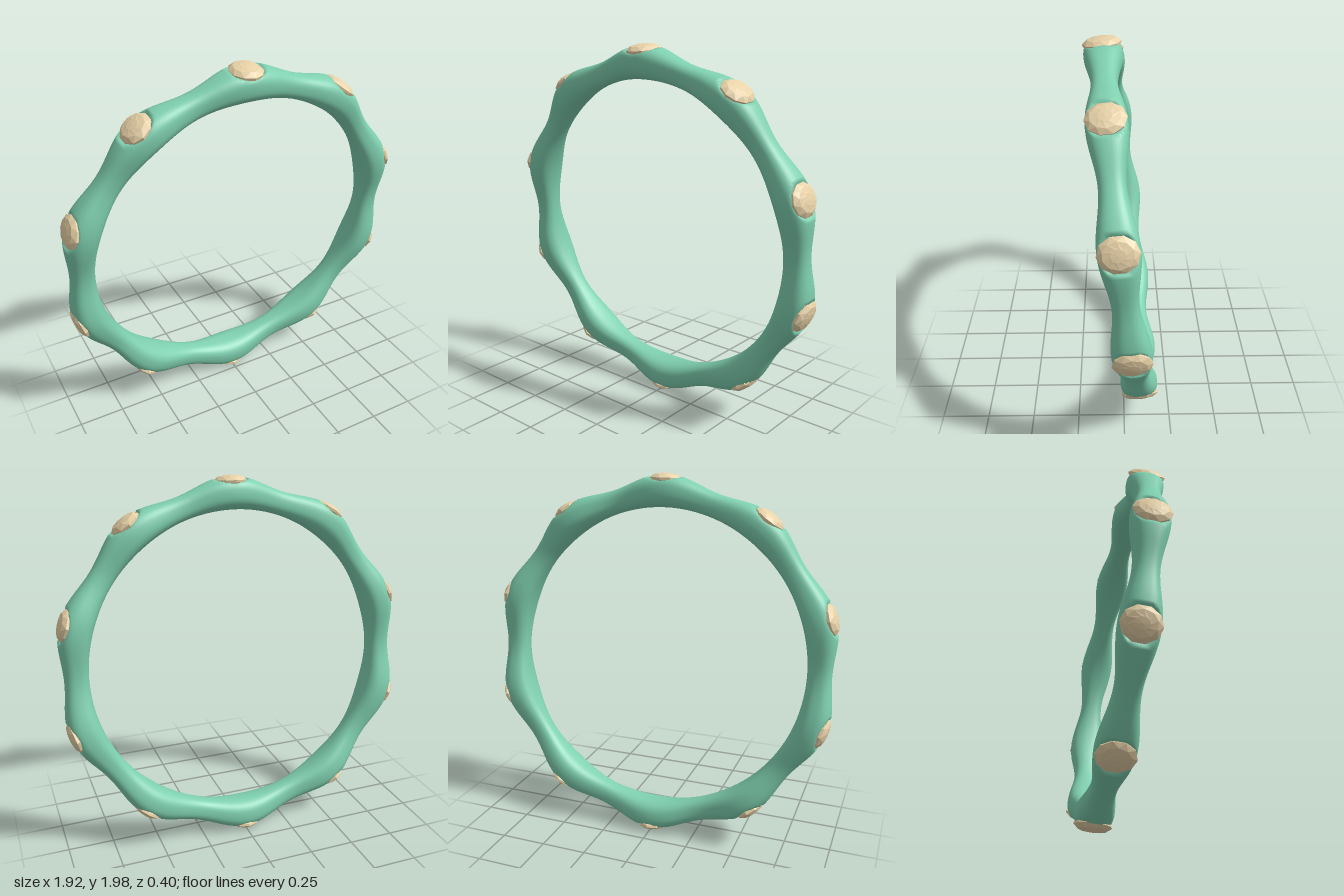
import * as THREE from 'three';
import { mergeVertices } from 'three/addons/utils/BufferGeometryUtils.js';

const COUNT = 10;
const STEP = (Math.PI * 2) / COUNT;
const INNER = 0.818;

// Band: a torus whose section swells at each stone and is hollowed into a socket there
function bandGeometry() {
  const geo = new THREE.TorusGeometry(0.9, 0.1, 40, 400);
  geo.deleteAttribute('uv');
  geo.deleteAttribute('normal');
  const band = mergeVertices(geo, 1e-5);
  const p = band.attributes.position;
  const power = (v) => Math.sign(v) * Math.pow(Math.abs(v), 0.8);
  for (let i = 0; i < p.count; i++) {
    const x = p.getX(i), y = p.getY(i);
    const a = Math.atan2(y, x);
    const s = Math.atan2(p.getZ(i), Math.hypot(x, y) - 0.9);
    const swell = 0.5 - 0.5 * Math.cos(COUNT * a);
    const outer = 0.943 + 0.047 * swell;
    let r = (INNER + outer) / 2 + ((outer - INNER) / 2) * power(Math.cos(s));
    const z = (0.064 + 0.034 * swell) * power(Math.sin(s));
    // distance along the band to the nearest stone
    const off = (a - Math.PI / 2) / STEP;
    const t = (off - Math.round(off)) * STEP * 0.97;
    const e = (t / 0.09) ** 2 + (z / 0.11) ** 2;
    if (e < 1) r = Math.min(r, 0.93 + 0.04 * e);
    p.setXYZ(i, r * Math.cos(a), r * Math.sin(a), z);
  }
  band.computeVertexNormals();
  return band;
}

// Stone: faceted low dome, alternate rows turned by half a facet; y points outward
function stoneGeometry() {
  const sides = 10;
  const profile = [[0, 0.928], [0.5, 0.93], [0.97, 0.955], [1, 0.968], [0.74, 0.987], [0.36, 0.994], [0, 0.996]]
    .map(([r, y]) => new THREE.Vector2(r, y));
  const geo = new THREE.LatheGeometry(profile, sides);
  const p = geo.attributes.position;
  for (let i = 0; i < p.count; i++) {
    const row = i % profile.length;
    const turn = row === 4 ? Math.PI / sides : 0;
    const x = p.getX(i), z = p.getZ(i);
    p.setX(i, 0.086 * (x * Math.cos(turn) + z * Math.sin(turn)));
    p.setZ(i, 0.098 * (z * Math.cos(turn) - x * Math.sin(turn)));
  }
  return geo;
}

export function createModel() {
  const model = new THREE.Group();
  model.name = 'bangle';
  const ring = new THREE.Group();
  ring.name = 'tiltedRing';
  ring.position.y = 1;
  ring.rotation.x = 0.107;
  model.add(ring);

  const band = new THREE.Mesh(bandGeometry(), new THREE.MeshStandardMaterial({ color: 0x7fd0b0 }));
  band.name = 'band';
  ring.add(band);

  const stoneGeo = stoneGeometry();
  const stoneMat = new THREE.MeshStandardMaterial({ color: 0xe8d2a8, flatShading: true });
  for (let i = 0; i < COUNT; i++) {
    const stone = new THREE.Mesh(stoneGeo, stoneMat);
    stone.name = `stone${i + 1}`;
    stone.rotation.z = i * STEP;
    ring.add(stone);
  }
  return model;
}
